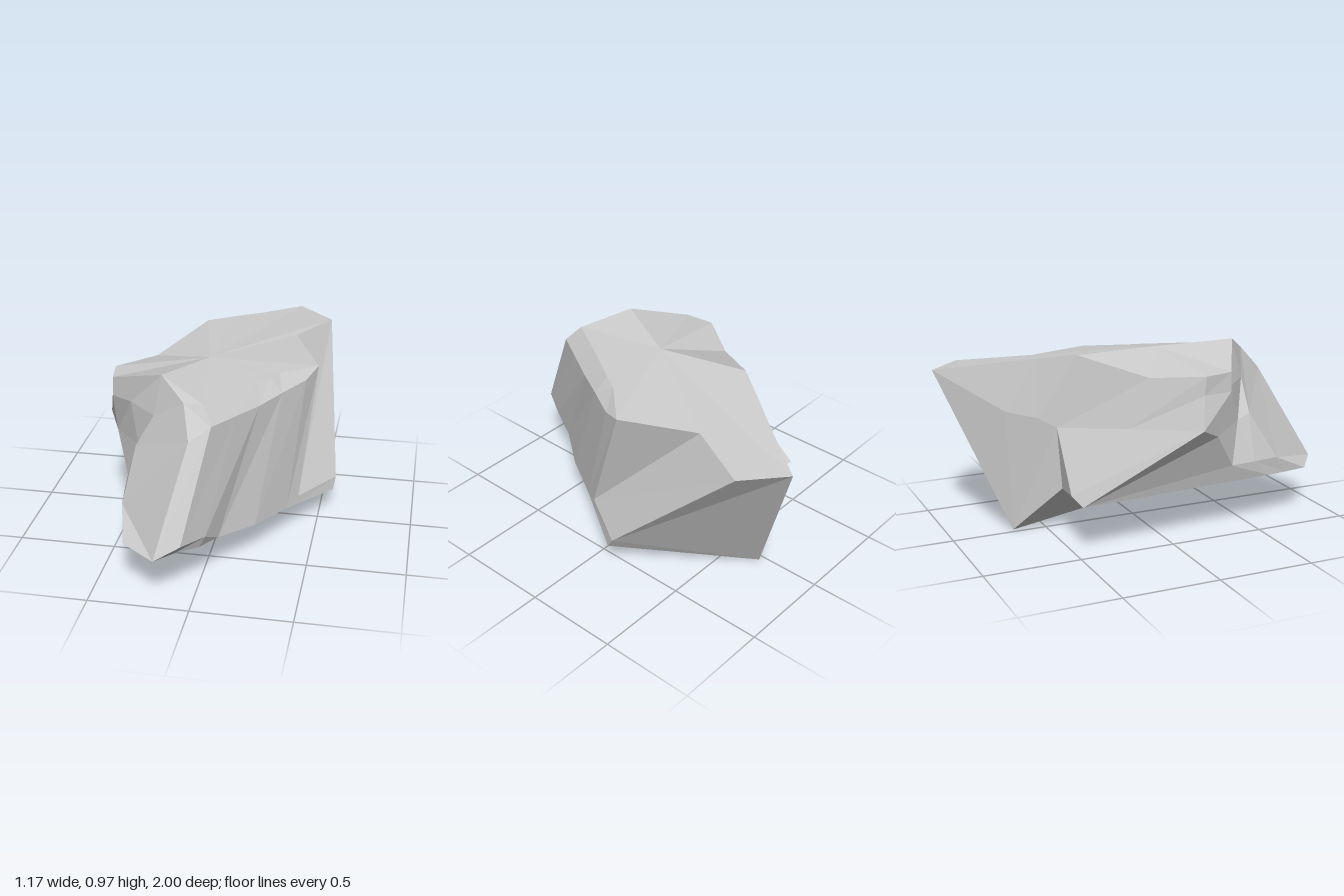
import * as THREE from 'three';

// Cross-sections of the boulder, each running round from the front tip by the left side
const base = [
  [-0.17, 0.255, 1], [-0.09, 0.243, 0.89], [0.01, 0.23, 0.79], [0.08, 0.22, 0.67],
  [0.23, 0.19, 0.47], [0.36, 0.17, 0.24], [0.41, 0.16, 0.16], [0.41, 0.16, 0.16],
  [0.57, 0.12, -0.1], [0.03, 0, -0.67], [0.03, 0, -0.67], [0.03, 0, -0.67],
  [-0.15, 0.252, -0.46], [-0.29, 0.257, -0.465], [-0.485, 0.26, -0.48], [-0.41, 0.26, 0.6],
  [-0.385, 0.255, 0.72], [-0.35, 0.25, 0.86],
];
const rim = [
  [-0.05, 0.755, 0.73], [0.05, 0.82, 0.68], [0.14, 0.81, 0.52], [0.23, 0.8, 0.36],
  [0.32, 0.806, 0.2], [0.42, 0.812, 0.03], [0.47, 0.845, -0.09], [0.305, 0.855, -0.48],
  [0.465, 0.83, -0.82], [0.27, 0.835, -1], [0.01, 0.645, -0.7], [-0.09, 0.62, -0.56],
  [-0.14, 0.575, -0.48], [-0.36, 0.59, -0.18], [-0.59, 0.6, 0.12], [-0.53, 0.545, 0.23],
  [-0.37, 0.57, 0.43], [-0.365, 0.6, 0.5],
];
// A section that follows another one except at a few corners
const vary = (ring, changes) => ring.map((p, i) => changes[i] || p);

// Chamfer above the base
const lower = vary(base, {
  1: [-0.05, 0.31, 0.94], 2: [0.04, 0.29, 0.79], 6: [0.41, 0.2, 0.15], 7: [0.41, 0.2, 0.15],
  8: [0.58, 0.18, -0.14], 12: rim[12], 15: [-0.45, 0.355, 0.36], 16: [-0.43, 0.353, 0.5],
  17: [-0.405, 0.35, 0.65],
});
// Overhanging ledge at the front right
const ledge = vary(rim, {
  0: [-0.1, 0.89, 0.59], 14: [-0.55, 0.77, 0.14], 15: [-0.53, 0.77, 0.3],
  16: [-0.42, 0.77, 0.36], 17: [-0.27, 0.77, 0.5],
});
// Edge of the top
const peak = [-0.235, 0.97, 0.46];
const top = vary(rim, {
  0: peak, 1: [0, 0.9, 0.61], 2: [0.1, 0.89, 0.43], 3: [0.2, 0.88, 0.26],
  4: [0.25, 0.875, 0.18], 5: [0.29, 0.87, 0.1], 10: [0.08, 0.88, -0.73],
  11: [-0.05, 0.915, -0.55], 12: [-0.17, 0.945, -0.38], 13: [-0.386, 0.845, -0.08],
  14: [-0.55, 0.865, 0.15], 15: [-0.525, 0.87, 0.3], 16: [-0.38, 0.92, 0.38], 17: peak,
});

// Joins the sections with facets and closes both ends
function loft(rings, bottomCentre, topCentre) {
  const positions = [];
  const same = (p, q) => p.every((v, k) => v === q[k]);
  const tri = (a, b, c) => {
    if (!same(a, b) && !same(b, c) && !same(c, a)) positions.push(...a, ...b, ...c);
  };
  const n = rings[0].length;
  const last = rings[rings.length - 1];
  for (let i = 0; i < n; i++) {
    const j = (i + 1) % n;
    for (let r = 0; r < rings.length - 1; r++) {
      const lo = rings[r], hi = rings[r + 1];
      tri(lo[i], lo[j], hi[j]);
      tri(lo[i], hi[j], hi[i]);
    }
    tri(bottomCentre, rings[0][j], rings[0][i]);
    tri(topCentre, last[i], last[j]);
  }
  const geometry = new THREE.BufferGeometry();
  geometry.setAttribute('position', new THREE.Float32BufferAttribute(positions, 3));
  geometry.computeVertexNormals();
  return geometry;
}

export function createModel() {
  const group = new THREE.Group();
  group.name = 'rock';
  const boulder = new THREE.Mesh(
    loft([base, lower, rim, ledge, top], [-0.05, 0.22, 0.5], [-0.07, 0.93, 0.1]),
    new THREE.MeshStandardMaterial({ color: 0xcccccc, flatShading: true })
  );
  boulder.name = 'boulder';
  group.add(boulder);
  return group;
}
